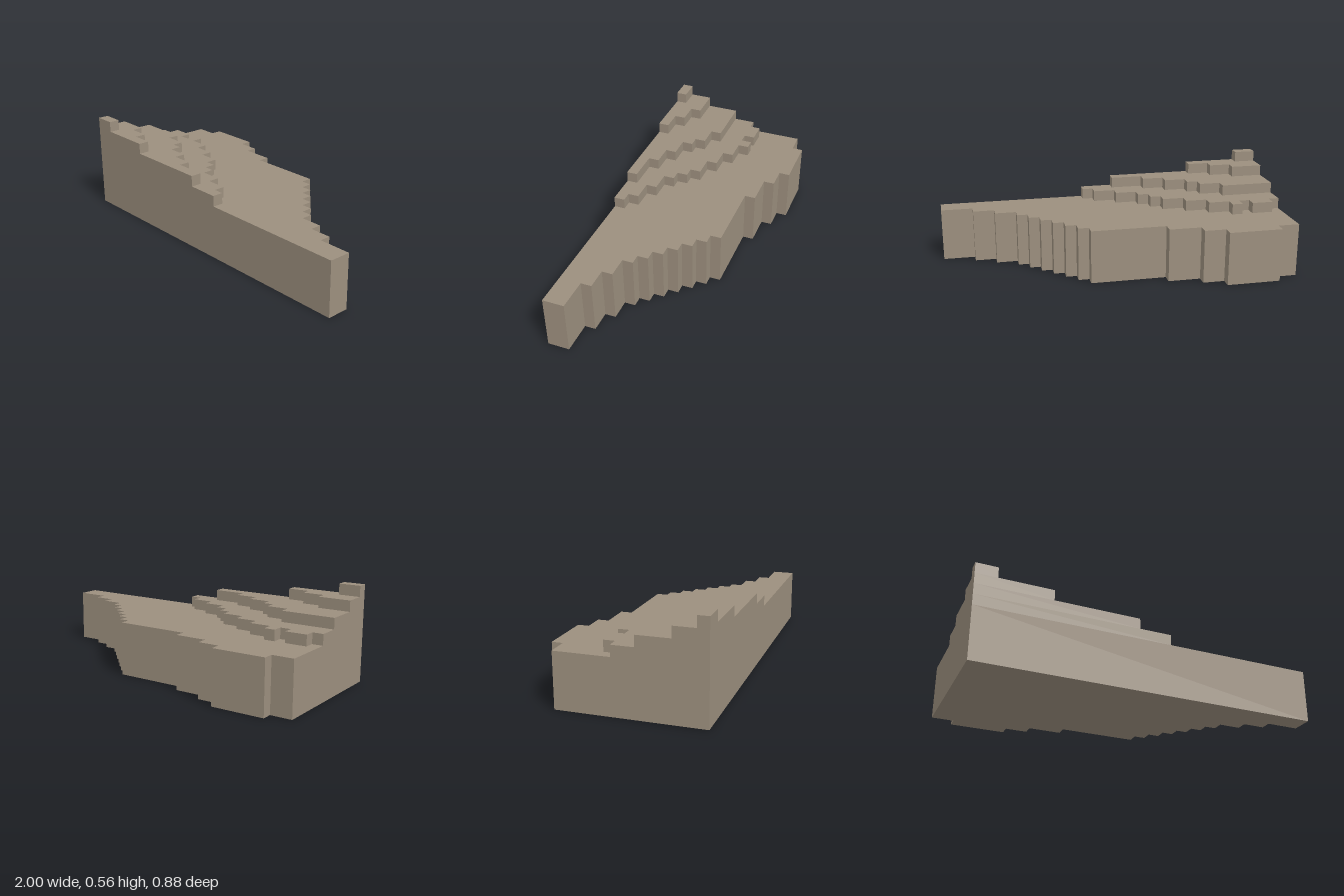
import * as THREE from 'three';

const CELL = 0.0625; // one grid step
const COLS = 32, ROWS = 14;

// Each layer: bottom and top in cells, then its back edge as [column where the step ends, back row].
// Every layer runs forward from its back edge to the flat front face.
const LAYERS = [
  { name: 'baseSlab', from: 0, to: 5, steps: [[2, 1], [7, 0], [9, 1], [12, 2], [19, 3], [20, 4], [21, 5],
    [22, 6], [23, 7], [24, 8], [25, 9], [27, 10], [29, 11], [32, 12]] },
  { name: 'firstTerrace', from: 5, to: 6, steps: [[1, 6], [3, 5], [4, 6], [5, 5], [7, 6], [9, 7], [11, 8],
    [12, 9], [13, 10], [15, 11], [17, 12], [18, 13]] },
  { name: 'secondTerrace', from: 6, to: 7, steps: [[5, 8], [7, 9], [8, 10], [10, 11], [12, 12], [15, 13]] },
  { name: 'thirdTerrace', from: 7, to: 8, steps: [[3, 11], [5, 12], [7, 13]] },
  { name: 'summit', from: 8, to: 9, steps: [[2, 13]] },
];

// Stepped outline extruded upwards
function terraceGeometry({ from, to, steps }) {
  const px = (col) => (col - COLS / 2) * CELL;
  const py = (row) => (ROWS / 2 - row) * CELL;
  const shape = new THREE.Shape();
  shape.moveTo(px(0), py(ROWS));
  let col = 0;
  for (const [end, row] of steps) {
    shape.lineTo(px(col), py(row));
    shape.lineTo(px(end), py(row));
    col = end;
  }
  shape.lineTo(px(col), py(ROWS));
  shape.closePath();
  const geometry = new THREE.ExtrudeGeometry(shape, { depth: (to - from) * CELL, bevelEnabled: false });
  geometry.rotateX(-Math.PI / 2);
  geometry.translate(0, from * CELL, 0);
  return geometry;
}

export function createModel() {
  const stone = new THREE.MeshStandardMaterial({ color: 0x9c8f7e });
  stone.name = 'stone';
  const model = new THREE.Group();
  model.name = 'terracedHill';
  for (const layer of LAYERS) {
    const mesh = new THREE.Mesh(terraceGeometry(layer), stone);
    mesh.name = layer.name;
    model.add(mesh);
  }
  return model;
}
